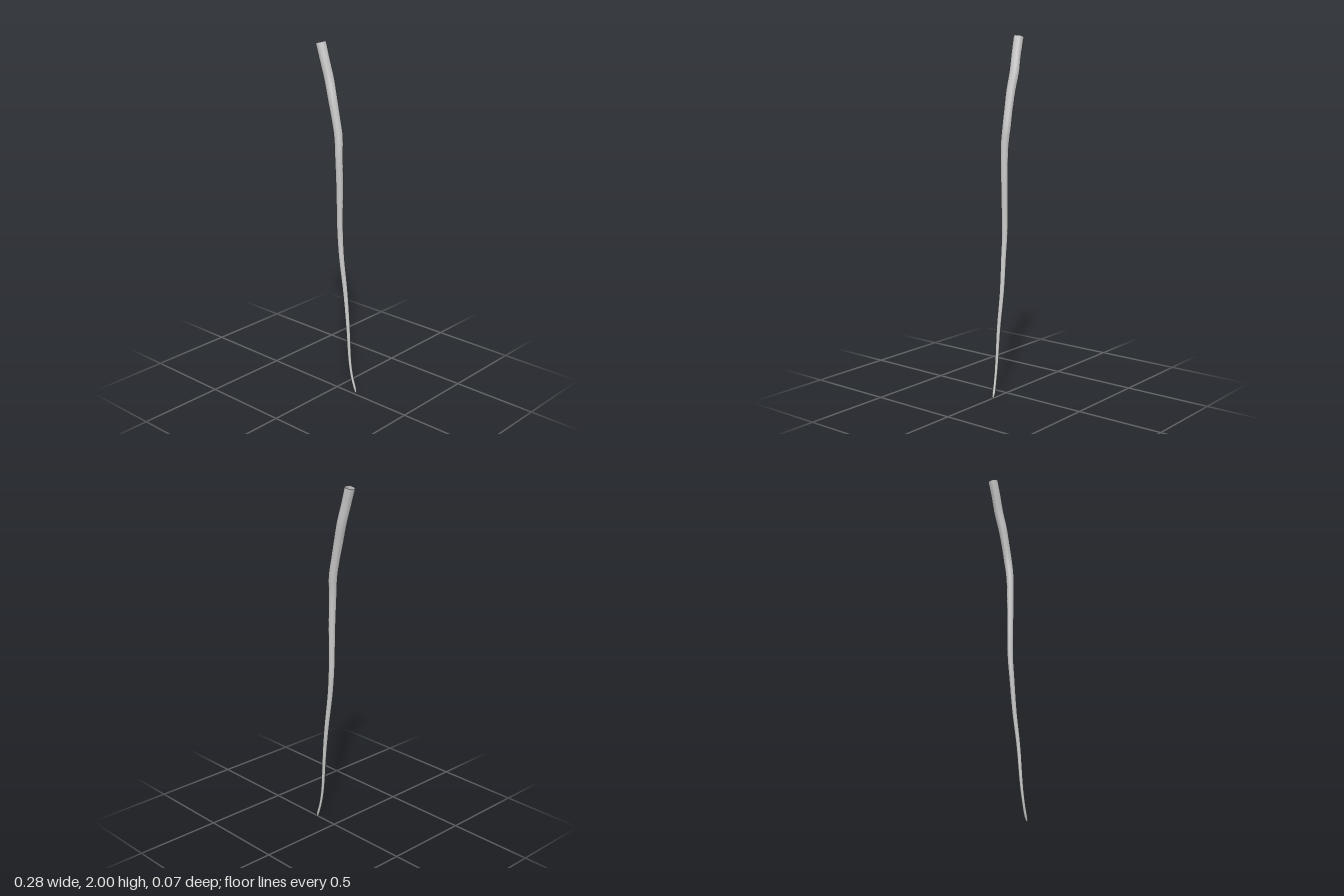
import * as THREE from 'three';

// Centre line and thickness, top to tip: x, y, z, radius
const SPINE = [
  [-0.113, 1.992, 0.004, 0.029],
  [-0.088, 1.9, 0.001, 0.028],
  [-0.062, 1.8, -0.005, 0.028],
  [-0.036, 1.7, -0.002, 0.027],
  [-0.014, 1.6, -0.003, 0.025],
  [0.005, 1.5, -0.004, 0.025],
  [0.014, 1.4, 0.002, 0.023],
  [0.018, 1.2, 0, 0.02],
  [0.018, 1.0, -0.002, 0.018],
  [0.021, 0.9, -0.004, 0.017],
  [0.03, 0.8, -0.004, 0.016],
  [0.053, 0.6, -0.01, 0.014],
  [0.077, 0.4, -0.006, 0.012],
  [0.093, 0.2, -0.004, 0.01],
  [0.109, 0.1, -0.006, 0.009],
  [0.126, 0.035, -0.01, 0.009],
  [0.133, 0.012, -0.01, 0.006],
  [0.136, 0.002, -0.01, 0.001],
];
const SIDES = 8;
const RINGS = 60;

// Tapered tube whose rings follow the centre line, open at the top
function buildStem() {
  const curve = new THREE.CatmullRomCurve3(SPINE.map(([x, y, z]) => new THREE.Vector3(x, y, z)));
  const radius = (t) => {
    const s = t * (SPINE.length - 1);
    const i = Math.min(Math.floor(s), SPINE.length - 2);
    return THREE.MathUtils.lerp(SPINE[i][3], SPINE[i + 1][3], s - i);
  };
  const positions = [];
  const index = [];
  for (let i = 0; i <= RINGS; i++) {
    const t = i / RINGS;
    const centre = curve.getPoint(t);
    const tangent = curve.getTangent(t);
    const across = new THREE.Vector3().crossVectors(tangent, new THREE.Vector3(0, 0, 1)).normalize();
    const depth = new THREE.Vector3().crossVectors(tangent, across).normalize();
    for (let j = 0; j < SIDES; j++) {
      const a = (j / SIDES) * Math.PI * 2;
      const p = centre.clone()
        .addScaledVector(across, Math.cos(a) * radius(t))
        .addScaledVector(depth, Math.sin(a) * radius(t));
      positions.push(p.x, p.y, p.z);
      if (i < RINGS) {
        const k = (j + 1) % SIDES;
        const [p0, p1, q0, q1] = [i * SIDES + j, i * SIDES + k, (i + 1) * SIDES + j, (i + 1) * SIDES + k];
        index.push(p0, p1, q0, p1, q1, q0);
      }
    }
  }
  const geometry = new THREE.BufferGeometry();
  geometry.setAttribute('position', new THREE.Float32BufferAttribute(positions, 3));
  geometry.setIndex(index);
  geometry.computeVertexNormals();
  return geometry;
}

export function createModel() {
  const group = new THREE.Group();
  group.name = 'taperedStem';
  const material = new THREE.MeshStandardMaterial({ color: 0xcccccc, side: THREE.DoubleSide });
  const stem = new THREE.Mesh(buildStem(), material);
  stem.name = 'stem';
  group.add(stem);
  return group;
}
